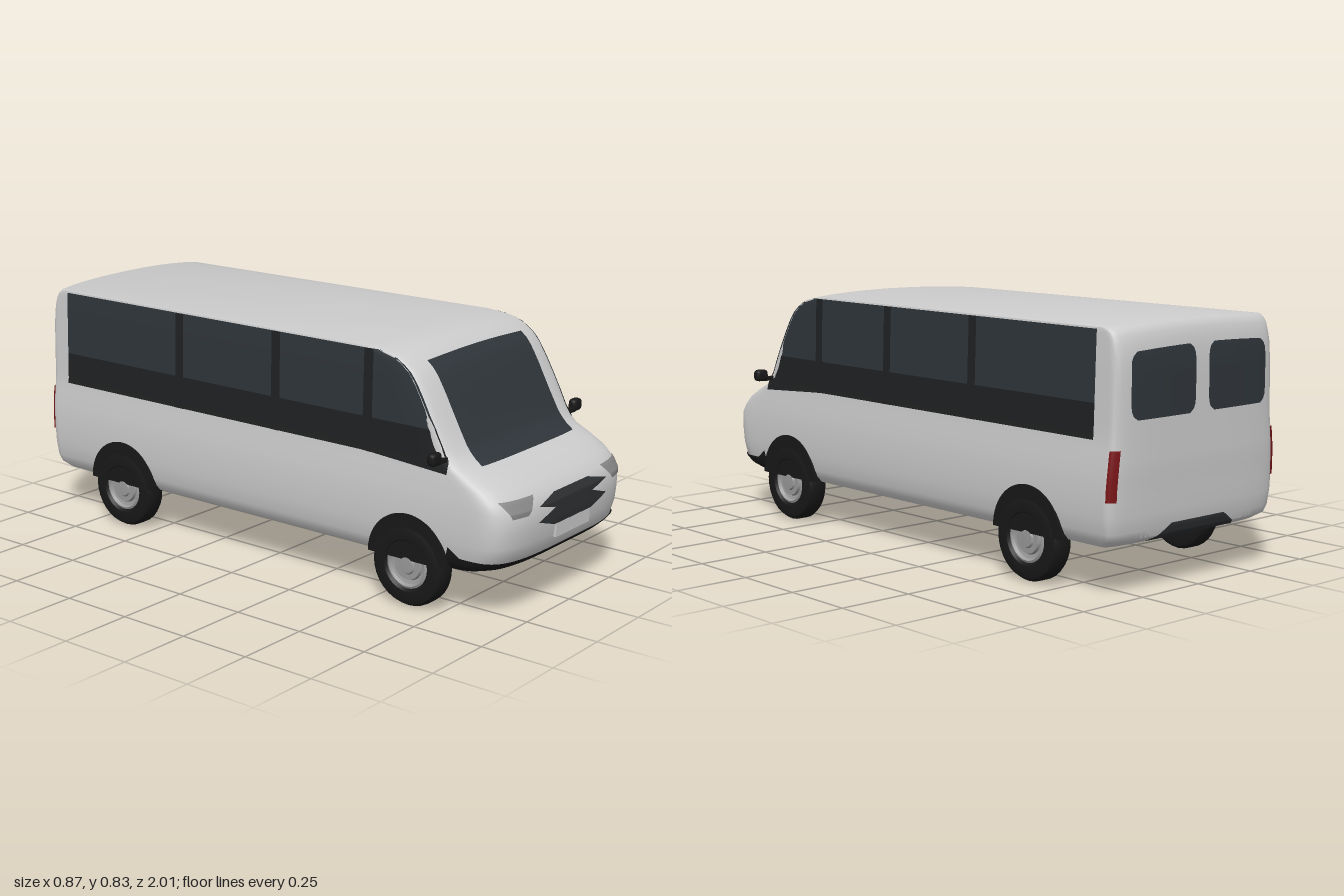
import * as THREE from 'three';
import { toCreasedNormals } from 'three/addons/utils/BufferGeometryUtils.js';

const { lerp, clamp, smoothstep } = THREE.MathUtils;
const mat = (color) => new THREE.MeshStandardMaterial({ color, side: THREE.DoubleSide });
const BODY = mat(0xcccccc), GLASS = mat(0x2f353a), LOWGLASS = mat(0x202122), BLACK = mat(0x181818);
const TRIM = mat(0x2e3032), LAMP = mat(0x888888), RED = mat(0x7a1518), METAL = mat(0x9a9a9a);

// Horizontal slices of the shell: y, front z, back z, half width, front corner depth
const KEYS = [
  [0.155, 0.90, -0.95, 0.345, 0.16], [0.175, 0.955, -0.982, 0.362, 0.16], [0.20, 0.982, -0.99, 0.37, 0.16],
  [0.25, 0.995, -0.994, 0.376, 0.16], [0.30, 1.0, -0.996, 0.377, 0.16], [0.36, 1.0, -0.998, 0.376, 0.16],
  [0.39, 0.982, -1, 0.373, 0.16], [0.42, 0.95, -1, 0.37, 0.15], [0.45, 0.895, -1, 0.366, 0.13],
  [0.475, 0.835, -1, 0.363, 0.10], [0.50, 0.80, -1, 0.361, 0.075], [0.53, 0.775, -1, 0.36, 0.06],
  [0.58, 0.745, -1, 0.3585, 0.045], [0.63, 0.717, -1, 0.357, 0.04], [0.68, 0.69, -1, 0.3555, 0.04],
  [0.73, 0.66, -0.997, 0.354, 0.04], [0.76, 0.635, -0.992, 0.353, 0.04], [0.785, 0.60, -0.985, 0.352, 0.04],
  [0.80, 0.57, -0.977, 0.3515, 0.04], [0.81, 0.52, -0.966, 0.351, 0.04], [0.815, 0.46, -0.955, 0.35, 0.04],
];
const BACK_R = 0.045;

function slice(y) {
  let i = 0;
  while (i < KEYS.length - 2 && y > KEYS[i + 1][0]) i++;
  const a = KEYS[i], b = KEYS[i + 1], t = clamp((y - a[0]) / (b[0] - a[0]), 0, 1);
  const [zf, zb, w, r] = [1, 2, 3, 4].map((k) => lerp(a[k], b[k], t));
  return { zf, zb, w, r };
}

// Upper slices are arched so the roof and header are crowned
const lift = (x, y, w) => 0.015 * smoothstep(y, 0.5, 0.8) * Math.max(0, 1 - (x / w) ** 2);

// Point on a slice: angle 0 is the left side, PI the right; end is 1 front, -1 back
function edgePoint(angle, y, end, off = 0) {
  const { zf, zb, w, r } = slice(y), c = Math.cos(angle), s = Math.sqrt(Math.abs(Math.sin(angle)));
  const x = Math.sign(c) * Math.sqrt(Math.abs(c)) * w;
  const z = end > 0 ? zf - r + r * s : zb + BACK_R - BACK_R * s;
  return [x * (1 + off * 2.7), y + lift(x, y, w), z + end * off];
}

// Point on the front or back face at a given x, y
function facePoint(x, y, end, off) {
  const { zf, zb, w, r } = slice(y), f = Math.max(0, 1 - (x / w) ** 4) ** 0.25;
  const z = end > 0 ? zf - r + r * f : zb + BACK_R - BACK_R * f;
  return [x, y + lift(x, y, w), z + end * off];
}

// x of the flank at a given y, z, following the rounded front corner
function flankX(y, z) {
  const { zf, w, r } = slice(y), d = Math.max(0, 1 - (zf - z) / r);
  return w * Math.max(0, 1 - d ** 4) ** 0.25;
}

function indexed(pos, idx) {
  const g = new THREE.BufferGeometry();
  g.setAttribute('position', new THREE.Float32BufferAttribute(pos, 3));
  g.setIndex(idx);
  g.computeVertexNormals();
  return g;
}

// Grid surface from a rule (u, v) -> point
function patch(nu, nv, fn) {
  const pos = [], idx = [];
  for (let j = 0; j <= nv; j++) for (let i = 0; i <= nu; i++) pos.push(...fn(i / nu, j / nv));
  for (let j = 0; j < nv; j++) for (let i = 0; i < nu; i++) {
    const a = j * (nu + 1) + i, b = a + 1, c = b + nu + 1, d = a + nu + 1;
    idx.push(a, b, c, a, c, d);
  }
  return indexed(pos, idx);
}

// Patch on the front or back face between two x limits that vary with height
const facePatch = (y0, y1, left, right, end, off = 0.004) => patch(24, 16, (u, v) =>
  facePoint(lerp(left(v), right(v), u), lerp(y0, y1, v), end, off));

// Patch on the flank; the leading edge follows the windscreen slope
const flankPatch = (side, y0, y1, zFront, zBack, off) => patch(32, 12, (u, v) => {
  let y = lerp(y0, y1, v);
  const z = lerp(Math.min(zFront, slice(y).zf - 0.02), zBack, u);
  y -= 0.02 * clamp((0.59 - y) / 0.11, 0, 1) * clamp((z - 0.45) / 0.32, 0, 1);
  return [side * (flankX(y, z) + off), y, z];
});

function shell() {
  const M = 40, N = 2 * (M + 1), pos = [], idx = [];
  for (const [y] of KEYS) {
    for (let i = 0; i <= M; i++) pos.push(...edgePoint(i / M * Math.PI, y, 1));
    for (let i = M; i >= 0; i--) pos.push(...edgePoint(i / M * Math.PI, y, -1));
  }
  for (let k = 0; k < KEYS.length - 1; k++) for (let j = 0; j < N; j++) {
    const a = k * N + j, b = k * N + (j + 1) % N;
    idx.push(a, a + N, b + N, a, b + N, b);
  }
  const top = (KEYS.length - 1) * N;
  for (let i = 0; i < M; i++) {
    const f = top + i, b = top + N - 1 - i;
    idx.push(f, b, b - 1, f, b - 1, f + 1);
  }
  return toCreasedNormals(indexed(pos, idx), 0.7);
}

function wheel(side, z) {
  const g = new THREE.Group();
  g.name = 'wheel';
  const lathe = (name, pts, m) => {
    const geo = new THREE.LatheGeometry(pts.map((p) => new THREE.Vector2(...p)), 32);
    const mesh = new THREE.Mesh(toCreasedNormals(geo, 0.6), m);
    mesh.name = name;
    g.add(mesh);
  };
  lathe('tyre', [[0.07, -0.036], [0.11, -0.04], [0.128, -0.034], [0.137, -0.02], [0.137, 0.02],
    [0.128, 0.034], [0.11, 0.04], [0.085, 0.038], [0.075, 0.028]], BLACK);
  lathe('rim', [[0.078, 0.03], [0.07, 0.034], [0.064, 0.024], [0.052, 0.02], [0.048, 0.03], [0.03, 0.03],
    [0.026, 0.036], [0, 0.037]], METAL);
  lathe('innerDisc', [[0, -0.02], [0.072, -0.034]], BLACK);
  g.rotation.z = -side * Math.PI / 2;
  g.position.set(side * 0.345, 0.137, z);
  return g;
}

export function createModel() {
  const model = new THREE.Group();
  model.name = 'van';
  const add = (name, geo, m) => {
    const mesh = new THREE.Mesh(geo, m);
    mesh.name = name;
    model.add(mesh);
    return mesh;
  };

  add('bodyShell', shell(), BODY);
  add('underside', patch(40, 1, (u, v) => edgePoint(u * Math.PI, 0.155, v ? 1 : -1)), BLACK);

  // Front face
  add('windscreen', facePatch(0.475, 0.772, () => -0.266, () => 0.266, 1), GLASS);
  const hex = (w, n) => (v) => lerp(w, n, Math.abs(2 * v - 1));
  for (const [y0, y1, wide, narrow] of [[0.338, 0.385, 0.2, 0.1], [0.283, 0.34, 0.2, 0.11]]) {
    const h = hex(wide, narrow);
    add('grille', facePatch(y0, y1, (v) => -h(v), h, 1, 0.005), TRIM);
  }
  const plate = add('numberPlate', new THREE.BoxGeometry(0.2, 0.045, 0.012), BODY);
  plate.position.set(0, 0.26, 0.997);
  add('frontBumper', patch(60, 6, (u, v) => {
    const t = u * 1.2 - 0.1, over = Math.max(0, -t, t - 1) * 10;
    const p = edgePoint(clamp(t, 0, 1) * Math.PI, lerp(0.156, 0.203 + 0.03 * over, v), 1, 0.004);
    p[2] -= over * 0.05;
    return p;
  }), BLACK);

  // Rear face
  add('rearStep', facePatch(0.157, 0.21, (v) => lerp(-0.2, -0.12, v), (v) => lerp(0.2, 0.12, v), -1), TRIM);

  for (const side of [1, -1]) {
    add('headlight', facePatch(0.345, 0.397, (v) => side * lerp(0.25, 0.2, v),
      (v) => side * lerp(0.315, 0.34, v), 1), LAMP);
    const inset = (v) => 0.025 * Math.abs(2 * v - 1) ** 8;
    add('rearWindow', facePatch(0.54, 0.74, (v) => side * (0.03 + inset(v)),
      (v) => side * (0.305 - inset(v)), -1), GLASS);
    add('tailLight', patch(12, 4, (u, v) => {
      const a = lerp(0.02, 0.17, u) * Math.PI;
      return edgePoint(side > 0 ? a : Math.PI - a, lerp(0.3, 0.455, v), -1, 0.003);
    }), RED);

    // Side glazing with darker lower band and pillars
    add('sideGlass', flankPatch(side, 0.59, 0.81, 0.77, -0.9, 0.004), GLASS);
    add('sideLowerGlass', flankPatch(side, 0.48, 0.59, 0.77, -0.9, 0.004), LOWGLASS);
    for (const z of [0.46, 0.08, -0.35])
      add('windowPillar', flankPatch(side, 0.48, 0.81, z + 0.018, z - 0.018, 0.006), LOWGLASS);

    // Mirror
    const head = add('mirrorHead', new THREE.SphereGeometry(1, 16, 12), BLACK);
    const hp = head.geometry.attributes.position;
    for (let i = 0; i < hp.count; i++) {
      const p = [hp.getX(i), hp.getY(i), hp.getZ(i)].map((c) => Math.sign(c) * Math.abs(c) ** 0.6);
      hp.setXYZ(i, p[0] * 0.025, p[1] * 0.021, p[2] * 0.016);
    }
    head.geometry.computeVertexNormals();
    head.position.set(side * 0.409, 0.517, 0.752);
    const arm = add('mirrorArm', new THREE.BoxGeometry(0.045, 0.014, 0.02), BLACK);
    arm.position.set(side * 0.373, 0.503, 0.752);

    // Wheels and arches
    for (const z of [0.63, -0.625]) {
      const s = new THREE.Shape();
      s.absarc(0, 0, 0.152, 0, Math.PI);
      const arch = add('wheelArch', new THREE.ExtrudeGeometry(s, { depth: 0.05, bevelEnabled: false, curveSegments: 24 }), BLACK);
      arch.rotation.y = Math.PI / 2;
      arch.position.set(side > 0 ? 0.33 : -0.38, 0.156, z);
      model.add(wheel(side, z));
    }
  }
  return model;
}
